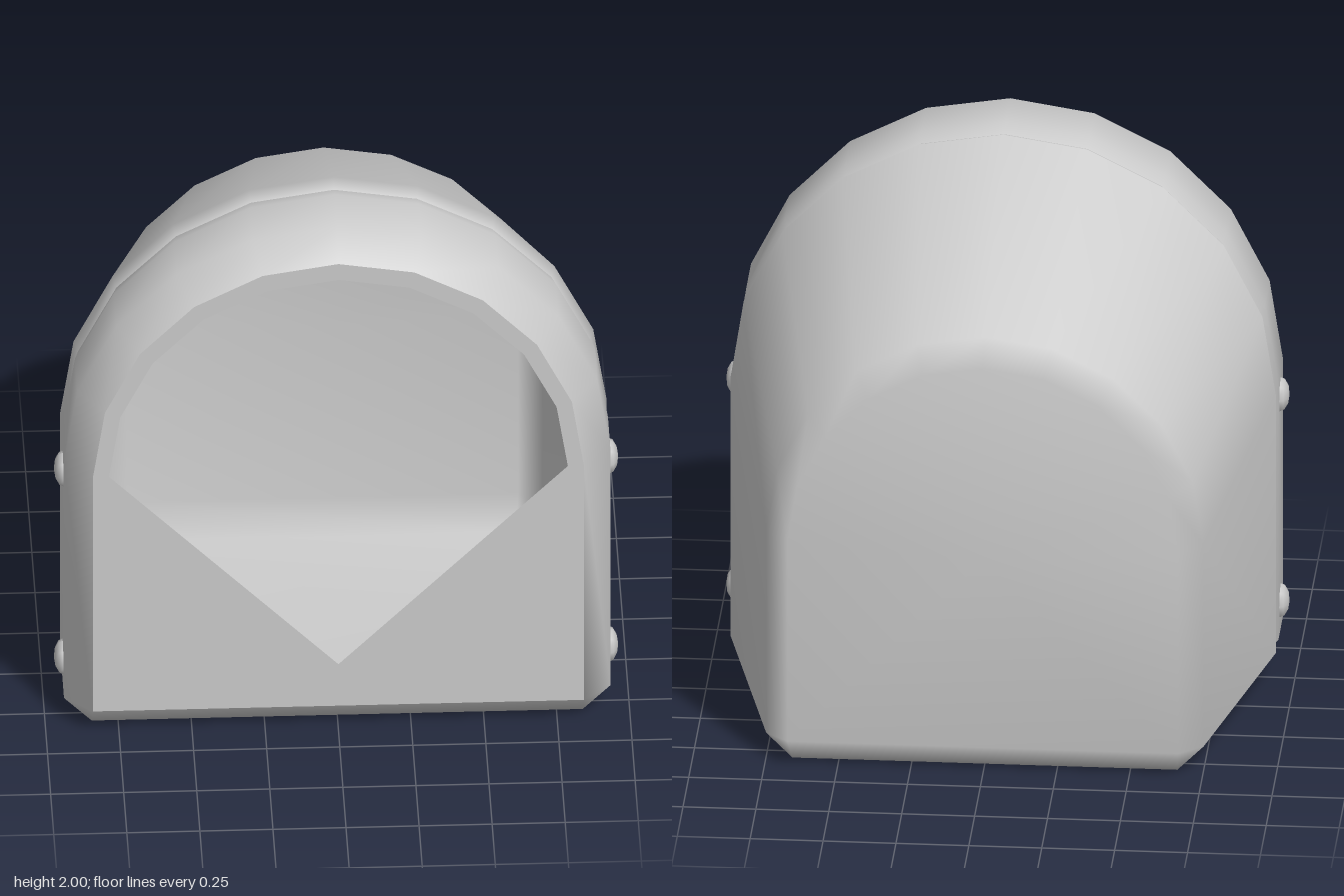
import * as THREE from 'three';
import { mergeVertices } from 'three/addons/utils/BufferGeometryUtils.js';

const ARCH = 10;
const mat = new THREE.MeshStandardMaterial({ color: 0xcccccc, side: THREE.DoubleSide });

// Arch-topped outline with chamfered bottom corners, counter-clockwise from the front
function ring(z, r, cy, ry, y0, c) {
  const p = [];
  for (let i = 0; i <= ARCH; i++) {
    const a = (Math.PI * i) / ARCH;
    p.push([r * Math.cos(a), cy + ry * Math.sin(a), z]);
  }
  p.push([-r, y0 + c, z], [c - r, y0, z], [r - c, y0, z], [r, y0 + c, z]);
  return p;
}

// Skin a list of outlines running front to back, optionally closing the back
function loft(rings, capBack) {
  const n = rings[0].length;
  const pos = rings.flat(2);
  const idx = [];
  for (let k = 0; k < rings.length - 1; k++) {
    for (let i = 0; i < n; i++) {
      const a = k * n + i, b = k * n + ((i + 1) % n);
      idx.push(a, a + n, b, b, a + n, b + n);
    }
  }
  if (capBack) {
    const last = rings.length - 1;
    pos.push(0, 0.8, rings[last][0][2]);
    for (let i = 0; i < n; i++) idx.push(rings.length * n, last * n + ((i + 1) % n), last * n + i);
  }
  const g = new THREE.BufferGeometry();
  g.setAttribute('position', new THREE.Float32BufferAttribute(pos, 3));
  g.setIndex(idx);
  const merged = mergeVertices(g, 1e-4);
  merged.computeVertexNormals();
  return merged;
}

export function createModel() {
  const group = new THREE.Group();
  const add = (name, geo) => {
    const m = new THREE.Mesh(geo, mat);
    m.name = name;
    group.add(m);
    return m;
  };

  // Bevelled collar round the opening, ending in the groove
  add('frontCollar', loft([
    ring(0.645, 0.84, 1.06, 0.85, 0.1, 0),
    ring(0.55, 0.935, 1.06, 0.94, 0, 0.095),
    ring(0.35, 0.935, 1.06, 0.94, 0, 0.095),
    ring(0.29, 0.92, 1.06, 0.92, 0.02, 0.095),
  ], false));

  // Tapering hood with a bevelled, closed back
  add('hoodShell', loft([
    ring(0.29, 0.92, 1.06, 0.92, 0.02, 0.095),
    ring(0.24, 0.935, 1.06, 0.94, 0, 0.095),
    ring(-0.555, 0.75, 0.845, 0.75, 0, 0.09),
    ring(-0.645, 0.67, 0.845, 0.67, 0.1, 0),
  ], true));

  // Flat front plate with an arched, V-bottomed opening
  const v2 = (p) => new THREE.Vector2(p[0], p[1]);
  const plate = new THREE.Shape([
    ...ring(0, 0.84, 1.06, 0.85, 0.1, 0).slice(0, ARCH + 1).map(v2),
    new THREE.Vector2(-0.84, 0.1), new THREE.Vector2(0.84, 0.1),
  ]);
  plate.holes.push(new THREE.Path([
    ...ring(0, 0.785, 1.06, 0.785, 0, 0).slice(0, ARCH + 1).map(v2),
    new THREE.Vector2(0, 0.27),
  ]));
  add('frontPlate', new THREE.ShapeGeometry(plate)).position.z = 0.645;

  // Domed rivets on both sides of the collar
  const rivetGeo = new THREE.SphereGeometry(0.065, 8, 6).rotateZ(Math.PI / 2).scale(0.55, 1, 1);
  for (const [side, sx] of [['left', 1], ['right', -1]]) {
    for (const [level, y] of [['Upper', 0.97], ['Lower', 0.2]]) {
      add(`${side}${level}Rivet`, rivetGeo).position.set(sx * 0.93, y, 0.45);
    }
  }
  return group;
}
